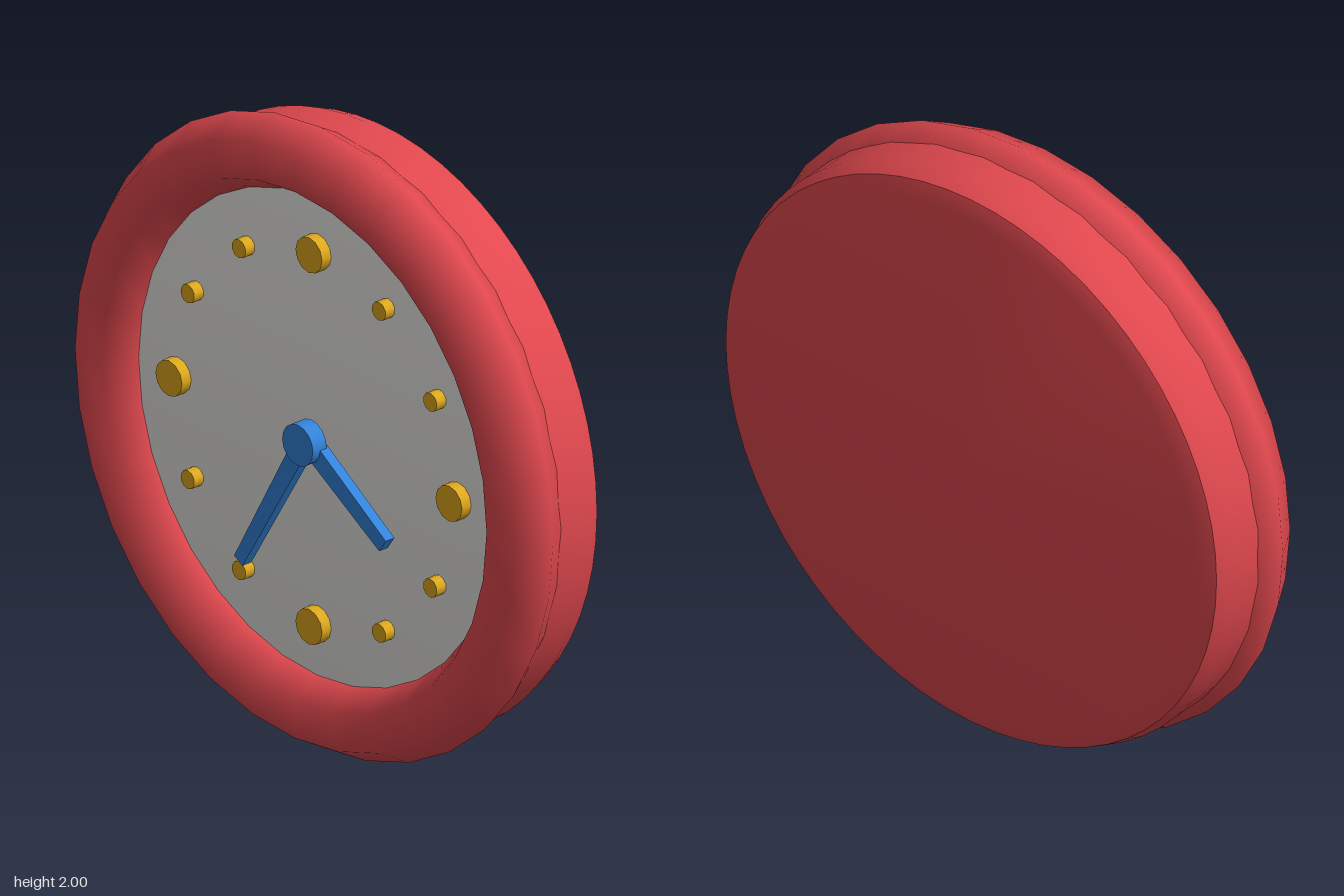
import * as THREE from 'three';
import { toCreasedNormals } from 'three/addons/utils/BufferGeometryUtils.js';

const mat = (name, color) => {
  const m = new THREE.MeshStandardMaterial({ color });
  m.name = name;
  return m;
};

export function createModel() {
  const red = mat('red', 0xe0484e);
  const cream = mat('cream', 0xeae9e5);
  const gold = mat('gold', 0xe0a91e);
  const blue = mat('blue', 0x3384da);

  const clock = new THREE.Group();
  clock.name = 'wallClock';
  const dial = new THREE.Group();
  dial.name = 'clockBody';
  dial.position.y = 1;
  clock.add(dial);

  const add = (name, geometry, material, x = 0, y = 0, z = 0) => {
    const mesh = new THREE.Mesh(geometry, material);
    mesh.name = name;
    mesh.position.set(x, y, z);
    dial.add(mesh);
    return mesh;
  };

  // Profile of [radius, z] pairs spun around the z axis; only bends over 35 degrees stay sharp
  const spin = (profile, segments) => toCreasedNormals(
    new THREE.LatheGeometry(profile.map(([r, z]) => new THREE.Vector2(r, z)), segments)
      .rotateX(Math.PI / 2), THREE.MathUtils.degToRad(35));

  // Round disc facing the front, from z = back to z = front
  const disc = (radius, back, front, sides) =>
    new THREE.CylinderGeometry(radius, radius, front - back, sides)
      .rotateX(Math.PI / 2).translate(0, 0, (back + front) / 2);

  // Housing with a rounded back edge, and the fat rim around the face
  add('housing', spin([[0, -0.18], [0.885, -0.18], [0.94, -0.157], [0.96, -0.105], [0.96, 0.02], [0.9, 0.03]], 64), red);
  add('rim', new THREE.TorusGeometry(0.882, 0.118, 6, 32), red, 0, 0, 0.075);

  // Face, its edge tucked inside the rim
  add('face', spin([[0.84, 0.067], [0.8, 0.083], [0, 0.083]], 64), cream);

  // Hour markers, larger at the quarters
  for (let i = 0; i < 12; i++) {
    const a = (i * Math.PI) / 6;
    const quarter = i % 3 === 0;
    add(quarter ? 'quarterMarker' : 'hourMarker',
      disc(quarter ? 0.057 : 0.03, 0.075, 0.12, quarter ? 12 : 10), gold,
      0.6 * Math.sin(a), 0.6 * Math.cos(a));
  }

  // Flat tapered hands, turned clockwise from twelve
  const hand = (name, length, tip, base, degrees, z) => {
    const outline = new THREE.Shape([
      new THREE.Vector2(-base, 0), new THREE.Vector2(base, 0),
      new THREE.Vector2(tip, length), new THREE.Vector2(-tip, length),
    ]);
    const geometry = new THREE.ExtrudeGeometry(outline, { depth: 0.035, bevelEnabled: false });
    add(name, geometry, blue, 0, 0, z).rotation.z = -THREE.MathUtils.degToRad(degrees);
  };
  hand('hourHand', 0.4, 0.025, 0.033, 124, 0.1);
  hand('minuteHand', 0.54, 0.021, 0.031, 210, 0.115);
  add('hub', disc(0.066, 0.11, 0.165, 16), blue);

  return clock;
}
